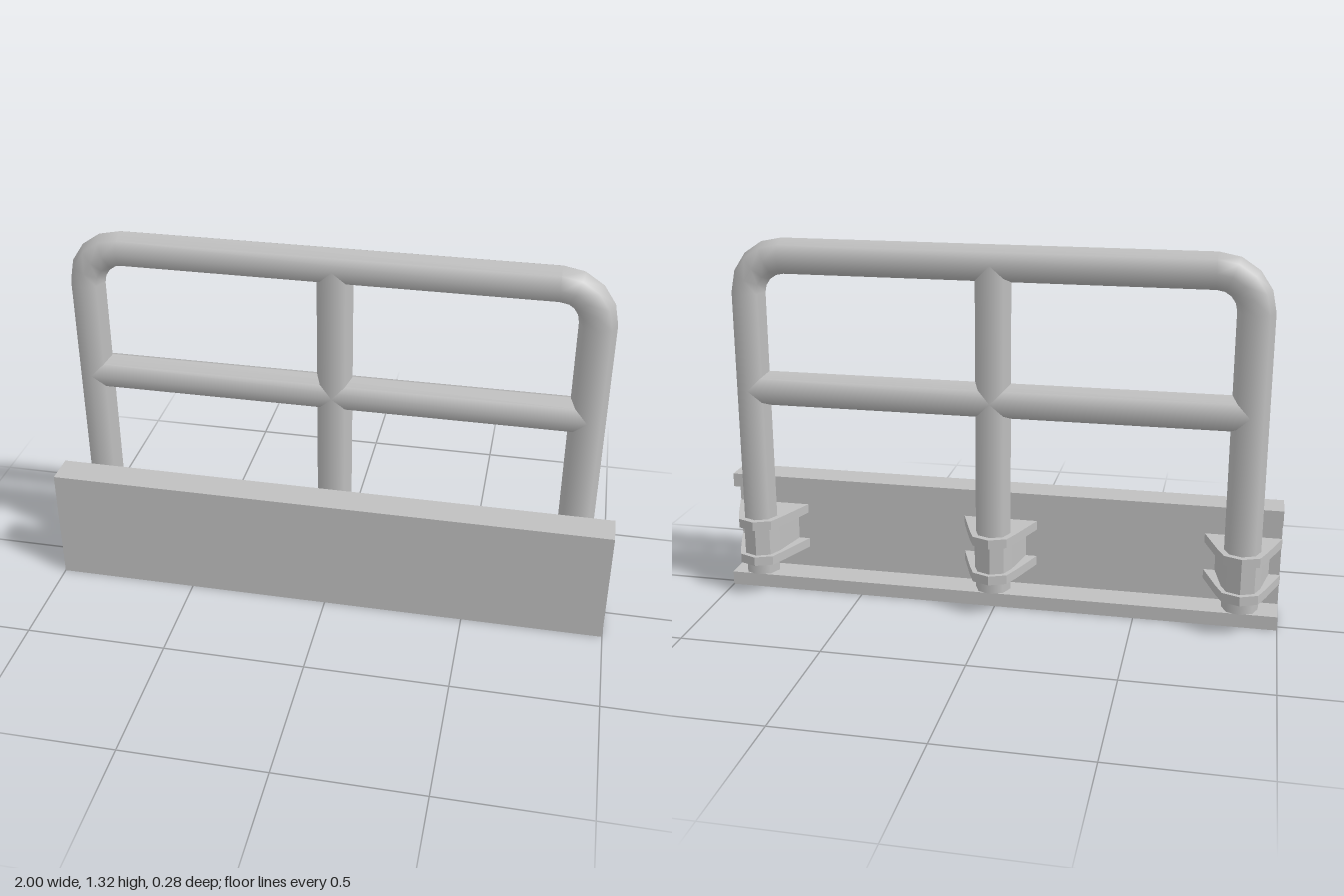
import * as THREE from 'three';

const PIPE = 0.0625, PIPE_Z = -0.052, LEG_X = 0.868;
const TOP = 1.253, BOTTOM = 0.085, BEND = 0.13, RAIL_Y = 0.78;

export function createModel() {
  const steel = new THREE.MeshStandardMaterial({ color: 0xc0c0c0 });
  steel.name = 'grey steel';
  const model = new THREE.Group();
  model.name = 'guardRail';

  const add = (parent, name, geometry, x = 0, y = 0, z = 0) => {
    const mesh = new THREE.Mesh(geometry, steel);
    mesh.name = name;
    mesh.position.set(x, y, z);
    parent.add(mesh);
    return mesh;
  };
  // Eight-sided smooth pipes
  const post = (name, x, y0, y1) =>
    add(model, name, new THREE.CylinderGeometry(PIPE, PIPE, y1 - y0, 8), x, (y0 + y1) / 2, PIPE_Z);
  const rail = (name, y, length) =>
    add(model, name, new THREE.CylinderGeometry(PIPE, PIPE, length, 8).rotateZ(Math.PI / 2), 0, y, PIPE_Z);

  // C-shaped mounting channel, profile as (-z, y)
  const profile = new THREE.Shape([
    [-0.14, 0], [0.03, 0], [0.03, 0.05], [-0.083, 0.05],
    [-0.083, 0.37], [-0.025, 0.37], [-0.025, 0.42], [-0.14, 0.42],
  ].map(([a, b]) => new THREE.Vector2(a, b)));
  const channel = new THREE.ExtrudeGeometry(profile, { depth: 2, bevelEnabled: false });
  add(model, 'channel', channel.rotateY(Math.PI / 2), -1, 0, 0);

  // Bent outer frame
  for (const s of [-1, 1]) {
    post('leg', s * LEG_X, BOTTOM, TOP - BEND);
    const bend = new THREE.TorusGeometry(BEND, PIPE, 8, 4, Math.PI / 2);
    if (s < 0) bend.rotateZ(Math.PI / 2);
    add(model, 'cornerBend', bend, s * (LEG_X - BEND), TOP - BEND, PIPE_Z);
  }
  rail('topRail', TOP, 2 * (LEG_X - BEND));
  rail('middleRail', RAIL_Y, 2 * LEG_X);
  post('centrePost', 0, BOTTOM, TOP);

  // Clamp layer: half-octagon around the pipe, flaring out to the channel
  const clampLayer = (radius, baseHalf, y0, y1) => {
    const points = [new THREE.Vector2(baseHalf, 0.083), new THREE.Vector2(-baseHalf, 0.083)];
    for (let i = 0; i <= 4; i++) {
      const a = Math.PI + i * Math.PI / 4;
      points.push(new THREE.Vector2(radius * Math.cos(a), PIPE_Z + radius * Math.sin(a)));
    }
    return new THREE.ExtrudeGeometry(new THREE.Shape(points), { depth: y1 - y0, bevelEnabled: false })
      .rotateX(Math.PI / 2).translate(0, y1, 0);
  };
  for (const x of [-LEG_X, 0, LEG_X]) {
    const clamp = new THREE.Group();
    clamp.name = 'clamp';
    clamp.position.x = x;
    add(clamp, 'lowerFlange', clampLayer(0.086, 0.134, 0.128, 0.161));
    add(clamp, 'clampBody', clampLayer(0.067, 0.094, 0.161, 0.264));
    add(clamp, 'upperFlange', clampLayer(0.086, 0.134, 0.264, 0.297));
    model.add(clamp);
  }
  return model;
}
